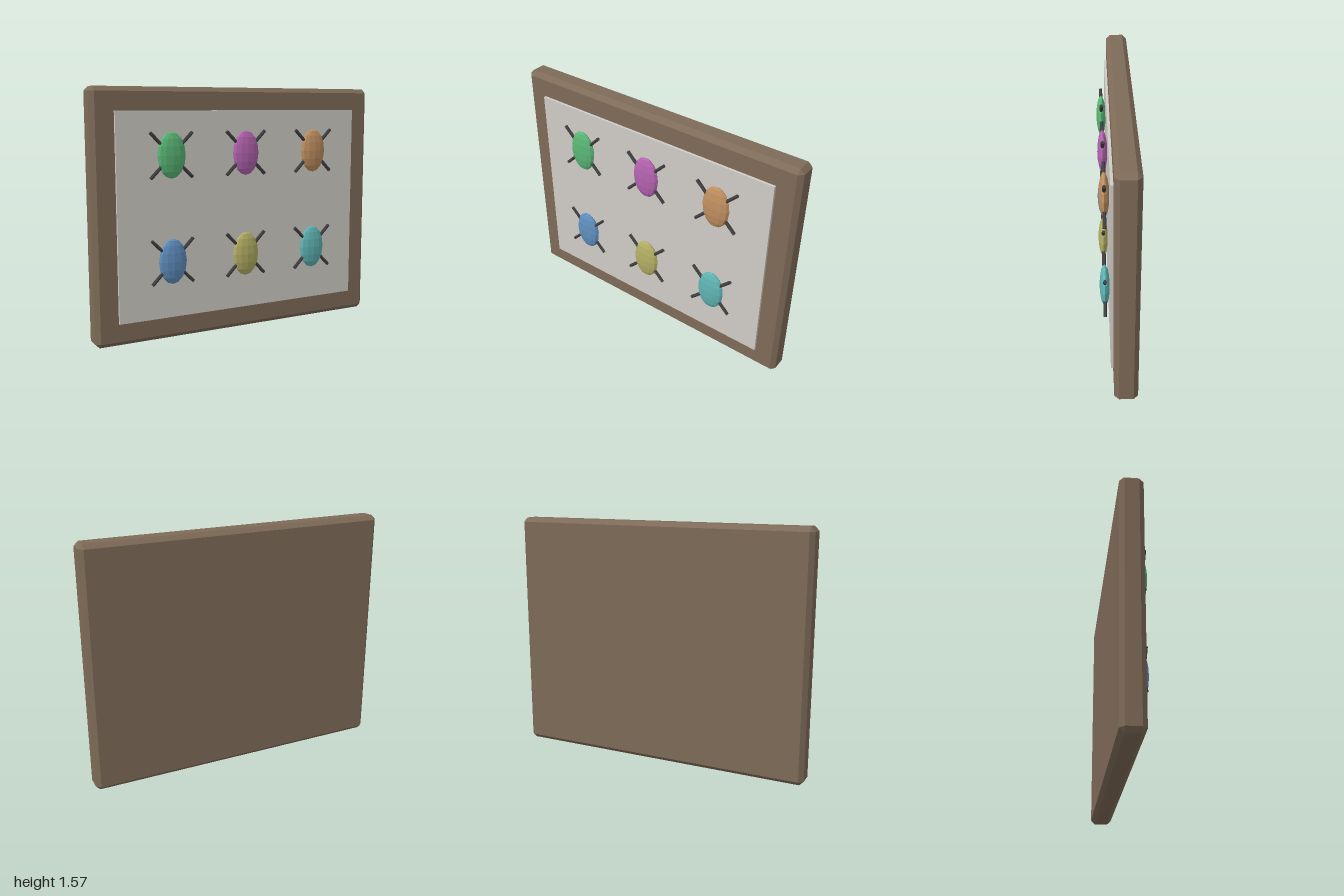
import * as THREE from 'three';
import { ConvexGeometry } from 'three/addons/geometries/ConvexGeometry.js';

const material = (color) => new THREE.MeshStandardMaterial({ color, flatShading: true });

function addMesh(parent, name, geometry, mat, x = 0, y = 0, z = 0) {
  const mesh = new THREE.Mesh(geometry, mat);
  mesh.name = name;
  mesh.position.set(x, y, z);
  parent.add(mesh);
  return mesh;
}

// Box with every edge cut by a flat chamfer
function chamferedBox(width, height, depth, bevel) {
  const points = [];
  for (const sx of [-1, 1]) for (const sy of [-1, 1]) for (const sz of [-1, 1]) {
    const x = width / 2, y = height / 2, z = depth / 2;
    points.push(
      new THREE.Vector3(sx * x, sy * (y - bevel), sz * (z - bevel)),
      new THREE.Vector3(sx * (x - bevel), sy * y, sz * (z - bevel)),
      new THREE.Vector3(sx * (x - bevel), sy * (y - bevel), sz * z));
  }
  return new ConvexGeometry(points);
}

export function createModel() {
  const model = new THREE.Group();
  model.name = 'beetleDisplay';

  // Wooden frame and the pale board standing just proud of it
  addMesh(model, 'frame', chamferedBox(2, 1.571, 0.143, 0.028), material(0x7f6b58), 0, 0.786, -0.038);
  addMesh(model, 'mountingBoard', new THREE.BoxGeometry(1.714, 1.286, 0.03), material(0xd0ccc6), 0, 0.786, 0.035);

  // Pinned beetles: flattened body over two crossed pairs of legs
  const bodyGeometry = new THREE.SphereGeometry(1, 12, 8).scale(0.093, 0.142, 0.032);
  const legGeometry = new THREE.CylinderGeometry(0.011, 0.011, 0.39, 6);
  const legMaterial = material(0x404040);
  const rows = [
    { y: 1.16, colors: [0x5ab876, 0xb564b0, 0xc09060] },
    { y: 0.505, colors: [0x6090c0, 0xb5b064, 0x60b5b5] },
  ];
  for (const { y, colors } of rows) {
    colors.forEach((color, column) => {
      const beetle = new THREE.Group();
      beetle.name = 'beetle';
      beetle.position.set((column - 1) * 0.514, y, 0.078);
      addMesh(beetle, 'body', bodyGeometry, material(color));
      for (const side of [-1, 1]) {
        addMesh(beetle, 'legPair', legGeometry, legMaterial).rotation.z = side * Math.PI / 4;
      }
      model.add(beetle);
    });
  }
  return model;
}
